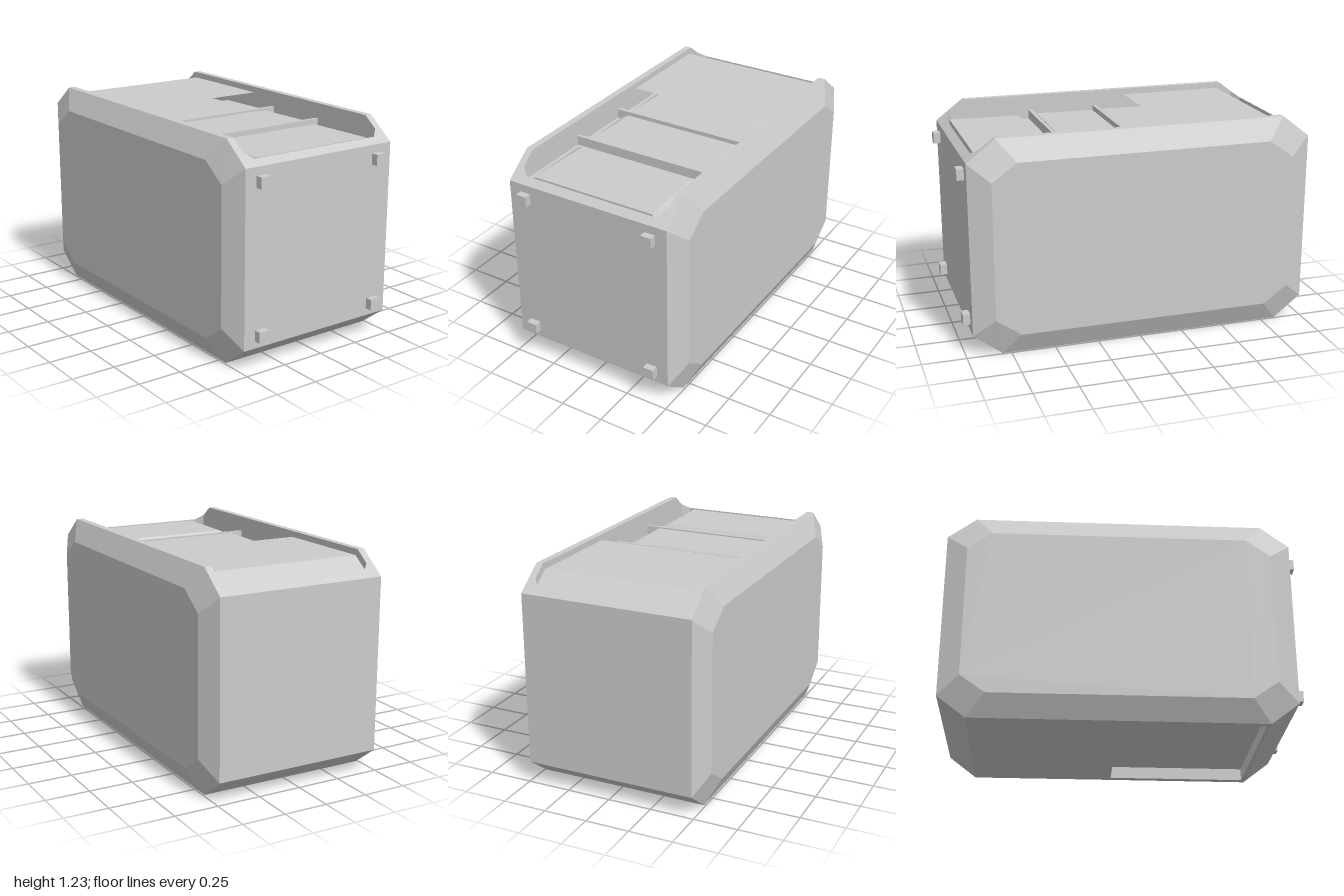
import * as THREE from 'three';
import { ConvexGeometry } from 'three/addons/geometries/ConvexGeometry.js';

const mat = new THREE.MeshStandardMaterial({ color: 0xcccccc, flatShading: true });
const thin = new THREE.MeshStandardMaterial({ color: 0xcccccc, flatShading: true, side: THREE.DoubleSide });
const V = (x, y, z) => new THREE.Vector3(x, y, z);

// Octagon in the side plane as [z, y] pairs
const octagon = (z0, z1, y0, y1, cz, cy) => [
  [z1, y0 + cy], [z1 - cz, y0], [z0 + cz, y0], [z0, y0 + cy],
  [z0, y1 - cy], [z0 + cz, y1], [z1 - cz, y1], [z1, y1 - cy],
];

export function createModel() {
  const group = new THREE.Group();
  const add = (name, geometry, x = 0, y = 0, z = 0, material = mat) => {
    const mesh = new THREE.Mesh(geometry, material);
    mesh.name = name;
    mesh.position.set(x, y, z);
    group.add(mesh);
    return mesh;
  };
  const hull = (name, points) => add(name, new ConvexGeometry(points));

  const W = 0.45, deck = 1.08;
  const outer = octagon(-1, 0.96, 0, 1.225, 0.16, 0.123);
  const inner = octagon(-0.88, 0.84, 0.123, 1.102, 0.14, 0.1);

  // Core body: side profile with sunken top and bottom recess, extruded across x
  const profile = [
    [0.96, 0.123], [0.8, 0], [0.78, 0], [0.78, 0.07], [-0.02, 0.07], [-0.02, 0], [-0.84, 0], [-1, 0.123],
    [-1, 1.102], [-0.965, 1.129], [-0.965, deck], [0.92, deck], [0.92, 1.133], [0.96, 1.102],
  ];
  const shape = new THREE.Shape(profile.map(([z, y]) => new THREE.Vector2(-z, y)));
  const core = new THREE.ExtrudeGeometry(shape, { depth: 2 * W, bevelEnabled: false });
  core.translate(0, 0, -W).rotateY(Math.PI / 2);
  add('body', core);

  for (const s of [1, -1]) {
    const side = s > 0 ? 'left' : 'right';
    // Side wall with bevelled outer panel
    hull(side + 'Wall', [
      ...outer.flatMap(([z, y]) => [V(s * W, y, z), V(s * 0.49, y, z)]),
      ...inner.map(([z, y]) => V(s * 0.55, y, z)),
    ]);
    // Corner fillers of the top opening, following the end slopes
    for (const [end, zA, zB] of [['Front', 0.92, 0.88], ['Back', -0.965, -0.92]]) {
      const slope = (z) => 1.102 + (z > 0 ? 0.96 - z : z + 1) * 0.77;
      const corners = [[W, zA], [W - 0.045, zA], [W, zB]];
      hull(side + end + 'OpeningCorner',
        corners.flatMap(([x, z]) => [V(s * x, deck, z), V(s * x, slope(z), z)]));
    }
    // Pegs on the front face
    for (const y of [0.195, 1.025])
      add(side + 'FrontPeg', new THREE.BoxGeometry(0.062, 0.062, 0.05), s * 0.39, y, 0.975);
  }

  // Raised panels with sloping flanks
  for (const [z0, z1] of [[-0.36, -0.03], [0.01, 0.375], [0.47, 0.9]]) {
    hull('topPanel', [1, -1].flatMap((s) => [
      V(s * 0.405, deck, z0), V(s * 0.392, deck, z1),
      V(s * 0.4, 1.105, z0), V(s * 0.385, 1.105, z1),
      V(s * 0.352, 1.13, z0 + 0.02), V(s * 0.368, 1.13, z1),
    ]));
  }

  // Crossbars between the panels
  for (const z of [-0.012, 0.394])
    add('crossbar', new THREE.BoxGeometry(2 * W, 0.055, 0.022), 0, deck + 0.0275, z);

  // Thin rear lid: flat top, then a slope down with clipped corners
  const flat = new THREE.PlaneGeometry(2 * W, 0.62).rotateX(-Math.PI / 2);
  add('rearLid', flat, 0, 1.19, -0.51, thin);
  const flap = new THREE.Shape([[-W, 0], [W, 0], [W, 0.125], [W - 0.045, 0.18], [-W + 0.045, 0.18], [-W, 0.125]]
    .map(([x, y]) => new THREE.Vector2(x, y)));
  const slope = add('rearLidSlope', new THREE.ShapeGeometry(flap), 0, 1.19, -0.82, thin);
  slope.rotation.x = -Math.PI / 2 - 0.62;
  return group;
}
